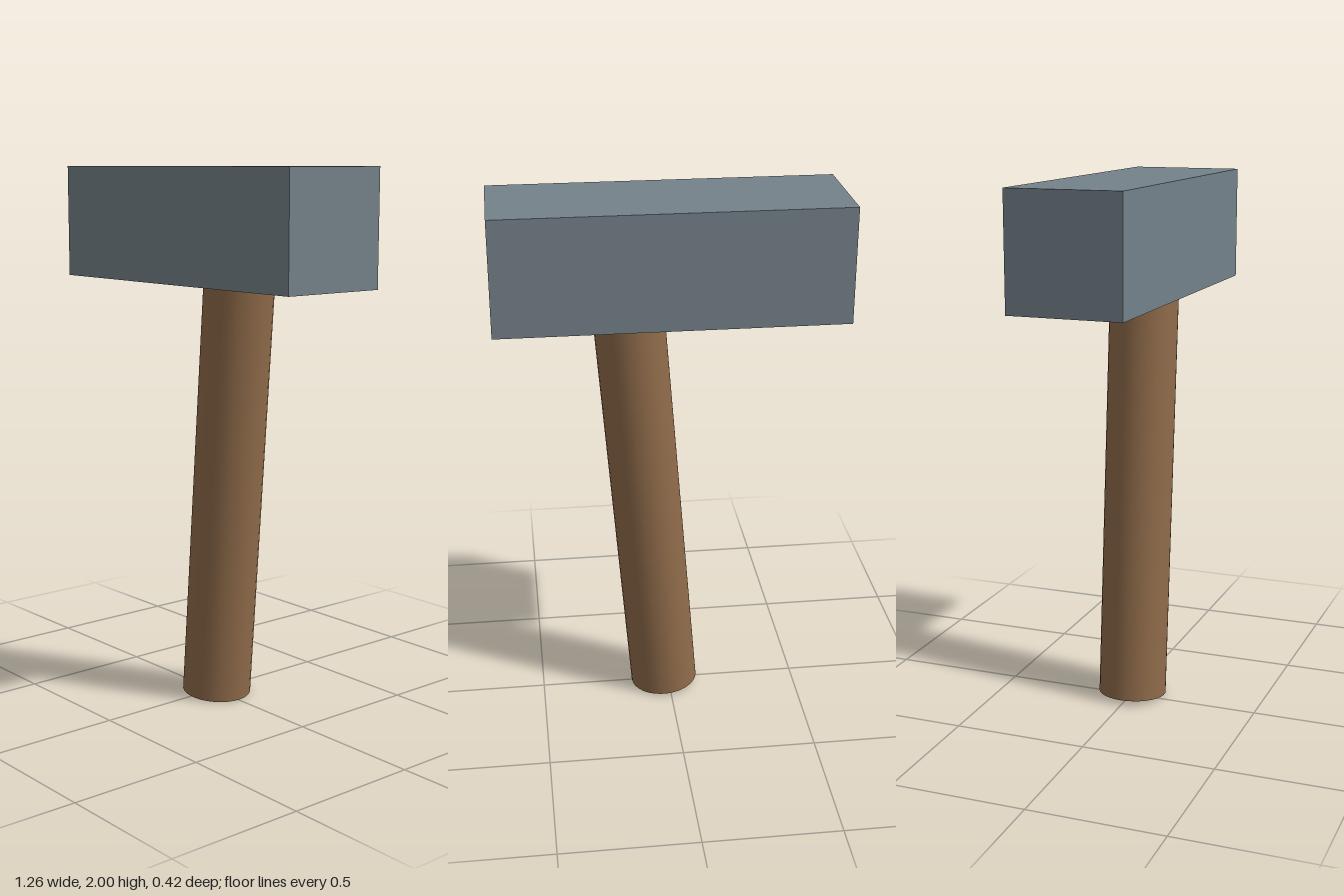
import * as THREE from 'three';

export function createModel() {
  const steel = new THREE.MeshStandardMaterial({ color: 0x74828a });
  steel.name = 'steel grey';
  const wood = new THREE.MeshStandardMaterial({ color: 0x8f6b4a });
  wood.name = 'brown wood';

  const hammer = new THREE.Group();
  hammer.name = 'hammer';

  // Square block head
  const head = new THREE.Mesh(new THREE.BoxGeometry(1.26, 0.42, 0.42), steel);
  head.name = 'head';
  head.position.y = 1.79;
  hammer.add(head);

  // Round handle, leaning slightly to +x, its top end set into the head
  const length = 1.68;
  const shaft = new THREE.CylinderGeometry(0.13, 0.13, length, 32);
  shaft.translate(0, length / 2, 0);
  const handle = new THREE.Mesh(shaft, wood);
  handle.name = 'handle';
  handle.position.set(0.016, 0.0105, 0);
  handle.rotation.z = -0.08;
  hammer.add(handle);

  return hammer;
}
